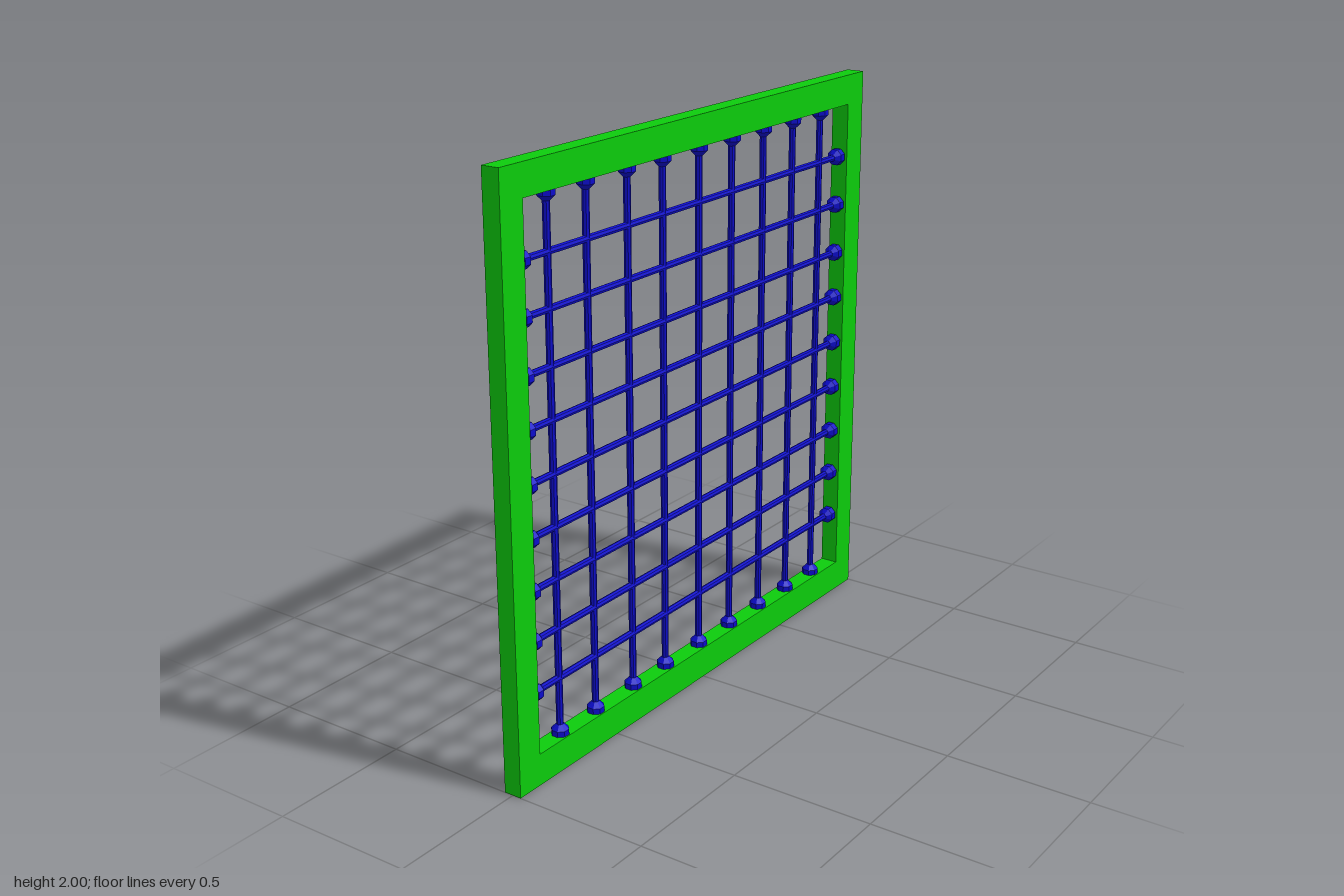
import * as THREE from 'three';

const DEPTH = 0.064;
const INNER = { x: 0.9, bottom: 0.11, top: 1.895 };
const COLUMNS = [-0.76, -0.575, -0.37, -0.185, 0.015, 0.205, 0.395, 0.58, 0.76];
const ROWS = [0.31, 0.485, 0.655, 0.83, 1.005, 1.18, 1.35, 1.53, 1.705];

const green = new THREE.MeshStandardMaterial({ color: 0x0ccc0c });
const blue = new THREE.MeshStandardMaterial({ color: 0x0c0ccc, flatShading: true });

function rectangle(Type, x, y0, y1) {
  const path = new Type();
  path.moveTo(-x, y0);
  path.lineTo(x, y0);
  path.lineTo(x, y1);
  path.lineTo(-x, y1);
  path.closePath();
  return path;
}

// Rod along y with a faceted bead near each end
function beadedRod(name, rodGeometry, beadGeometry, beadOffset) {
  const group = new THREE.Group();
  group.name = name;
  const rod = new THREE.Mesh(rodGeometry, blue);
  rod.name = 'rod';
  group.add(rod);
  for (const side of [-1, 1]) {
    const bead = new THREE.Mesh(beadGeometry, blue);
    bead.name = 'bead';
    bead.position.y = side * beadOffset;
    group.add(bead);
  }
  return group;
}

export function createModel() {
  const model = new THREE.Group();
  model.name = 'gridFrame';

  // Square frame with a rectangular opening
  const outline = rectangle(THREE.Shape, 1, 0, 2);
  outline.holes.push(rectangle(THREE.Path, INNER.x, INNER.bottom, INNER.top));
  const frameGeometry = new THREE.ExtrudeGeometry(outline, { depth: DEPTH, bevelEnabled: false });
  frameGeometry.translate(0, 0, -DEPTH / 2);
  const frame = new THREE.Mesh(frameGeometry, green);
  frame.name = 'frame';
  model.add(frame);

  // Octagonal bead profile, turned in eight sides
  const r = 0.03, c = 0.0125;
  const profile = [[0, -r], [c, -r], [r, -c], [r, c], [c, r], [0, r]];
  const bead = new THREE.LatheGeometry(profile.map(([x, y]) => new THREE.Vector2(x, y)), 8, Math.PI / 8);

  // Upright rods
  const midY = (INNER.bottom + INNER.top) / 2;
  const height = INNER.top - INNER.bottom;
  const uprightRod = new THREE.CylinderGeometry(0.012, 0.012, height + 0.02, 8);
  for (const x of COLUMNS) {
    const upright = beadedRod('verticalRod', uprightRod, bead, height / 2 - 0.007);
    upright.position.set(x, midY, 0);
    model.add(upright);
  }

  // Crosswise rods
  const crossRod = new THREE.CylinderGeometry(0.012, 0.012, 2 * INNER.x + 0.02, 8);
  for (const y of ROWS) {
    const cross = beadedRod('horizontalRod', crossRod, bead, INNER.x - 0.02);
    cross.rotation.z = Math.PI / 2;
    cross.position.y = y;
    model.add(cross);
  }
  return model;
}
